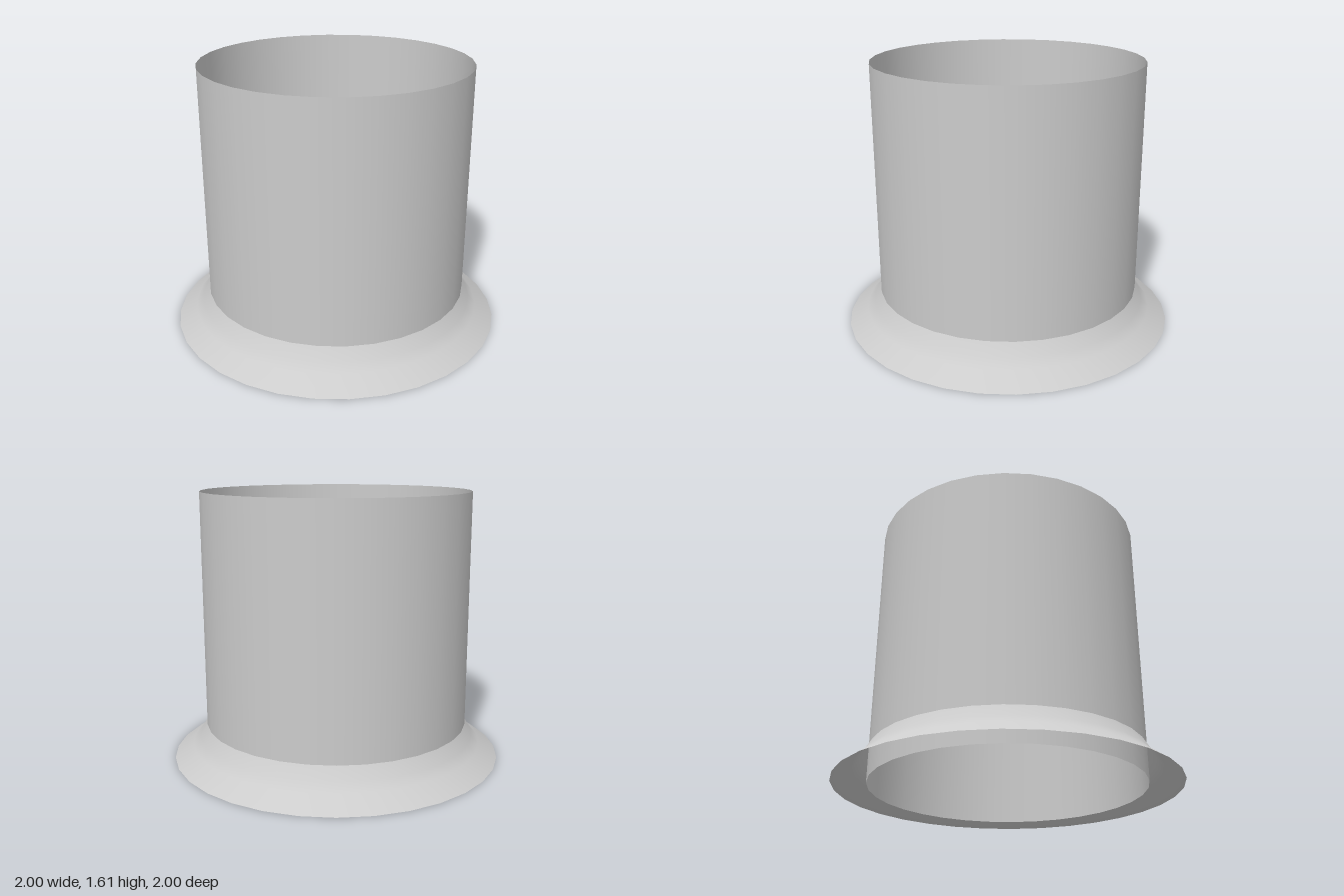
import * as THREE from 'three';

const SIDES = 32;

export function createModel() {
  const group = new THREE.Group();
  const material = new THREE.MeshStandardMaterial({ color: 0xcccccc, side: THREE.DoubleSide });

  const add = (name, geometry) => {
    const mesh = new THREE.Mesh(geometry, material);
    mesh.name = name;
    group.add(mesh);
    return mesh;
  };

  // Straight thin-walled pipe, open at both ends
  const pipe = add('pipe', new THREE.CylinderGeometry(0.8, 0.8, 1.605, SIDES, 1, true));
  pipe.position.y = 1.605 / 2;

  // Concave skirt flaring out around the foot of the pipe
  const profile = [[1, 0], [0.888, 0.08], [0.843, 0.128], [0.8, 0.2]];
  add('flaredSkirt', new THREE.LatheGeometry(profile.map(([r, y]) => new THREE.Vector2(r, y)), SIDES));

  return group;
}
